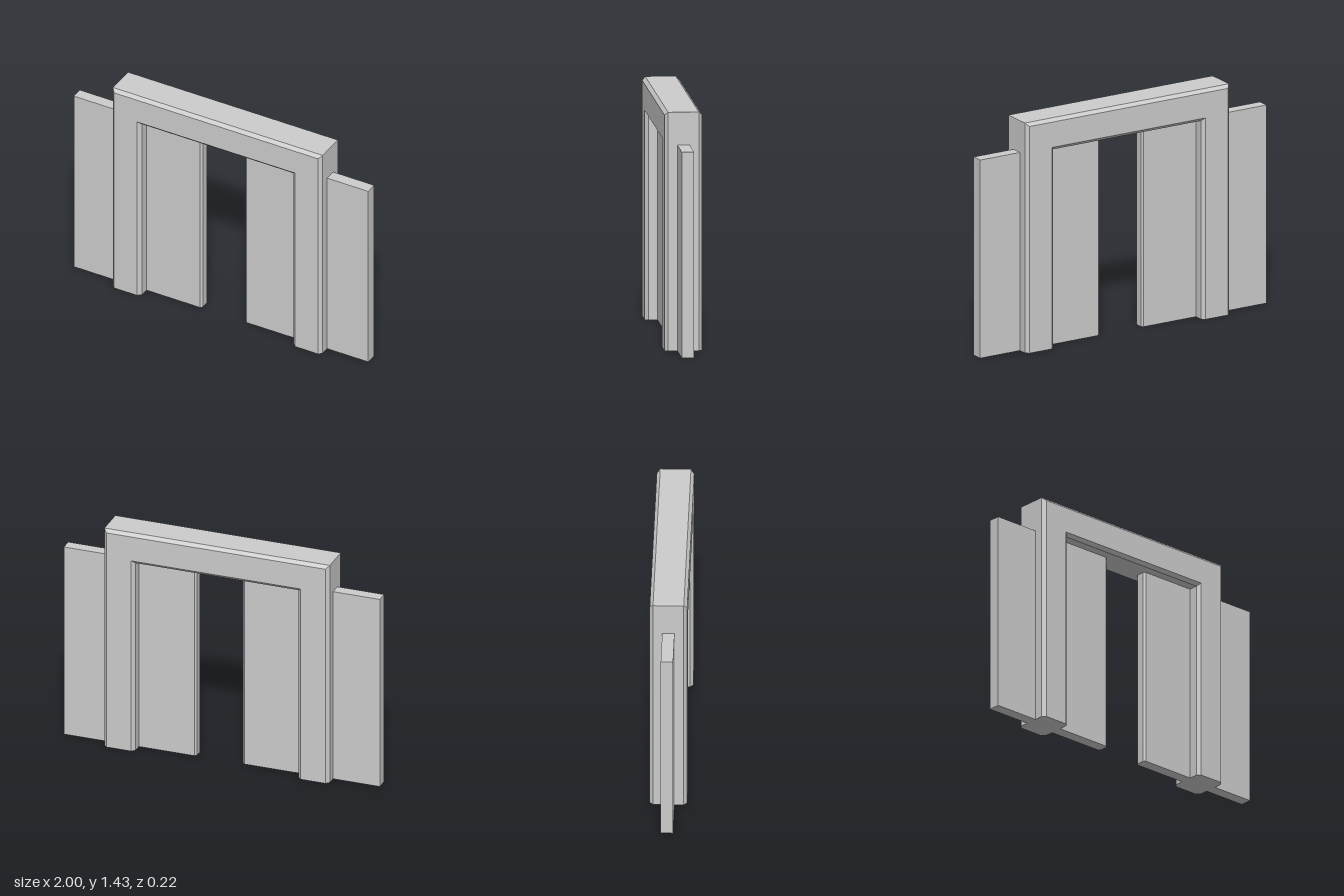
import * as THREE from 'three';

const material = new THREE.MeshStandardMaterial({ color: 0xcccccc, flatShading: true });

// Frame: a chamfered section swept up, across and down with mitred corners
function frameGeometry(left, right, top, width, depth, bevel) {
  const h = depth / 2, f = h - bevel;
  const section = [
    [0, -f], [0, f], [bevel, h], [width - bevel, h],
    [width, f], [width, -f], [width - bevel, -h], [bevel, -h],
  ];
  const stations = [
    (u, z) => [left + u, 0, z],
    (u, z) => [left + u, top - u, z],
    (u, z) => [right - u, top - u, z],
    (u, z) => [right - u, 0, z],
  ].map(place => section.map(([u, z]) => place(u, z)));

  const positions = [];
  const tri = (a, b, c) => positions.push(...a, ...b, ...c);
  const n = section.length;
  for (let s = 0; s < 3; s++) {
    for (let k = 0; k < n; k++) {
      const a = stations[s][k], b = stations[s][(k + 1) % n];
      const c = stations[s + 1][k], d = stations[s + 1][(k + 1) % n];
      tri(a, b, d);
      tri(a, d, c);
    }
  }
  // Feet of the two posts
  const [first, last] = [stations[0], stations[3]];
  for (let k = 1; k < n - 1; k++) {
    tri(first[0], first[k + 1], first[k]);
    tri(last[0], last[k], last[k + 1]);
  }
  const geometry = new THREE.BufferGeometry();
  geometry.setAttribute('position', new THREE.Float32BufferAttribute(positions, 3));
  geometry.computeVertexNormals();
  return geometry;
}

// Sliding panel: square outer end, chamfered meeting edge
function panelGeometry(outer, inner, height, depth, bevel) {
  const h = depth / 2, c = inner + Math.sign(outer) * bevel;
  const plan = new THREE.Shape([
    [outer, -h], [c, -h], [inner, -h + bevel], [inner, h - bevel], [c, h], [outer, h],
  ].map(([x, y]) => new THREE.Vector2(x, y)));
  const geometry = new THREE.ExtrudeGeometry(plan, { depth: height, bevelEnabled: false });
  return geometry.rotateX(-Math.PI / 2);
}

export function createModel() {
  const model = new THREE.Group();
  model.name = 'slidingDoorway';
  const add = (name, geometry) => {
    const mesh = new THREE.Mesh(geometry, material);
    mesh.name = name;
    model.add(mesh);
  };
  add('doorFrame', frameGeometry(-0.704, 0.722, 1.43, 0.197, 0.222, 0.02));
  add('rightDoorPanel', panelGeometry(-1, -0.13, 1.232, 0.073, 0.012));
  add('leftDoorPanel', panelGeometry(1, 0.161, 1.232, 0.073, 0.012));
  return model;
}
